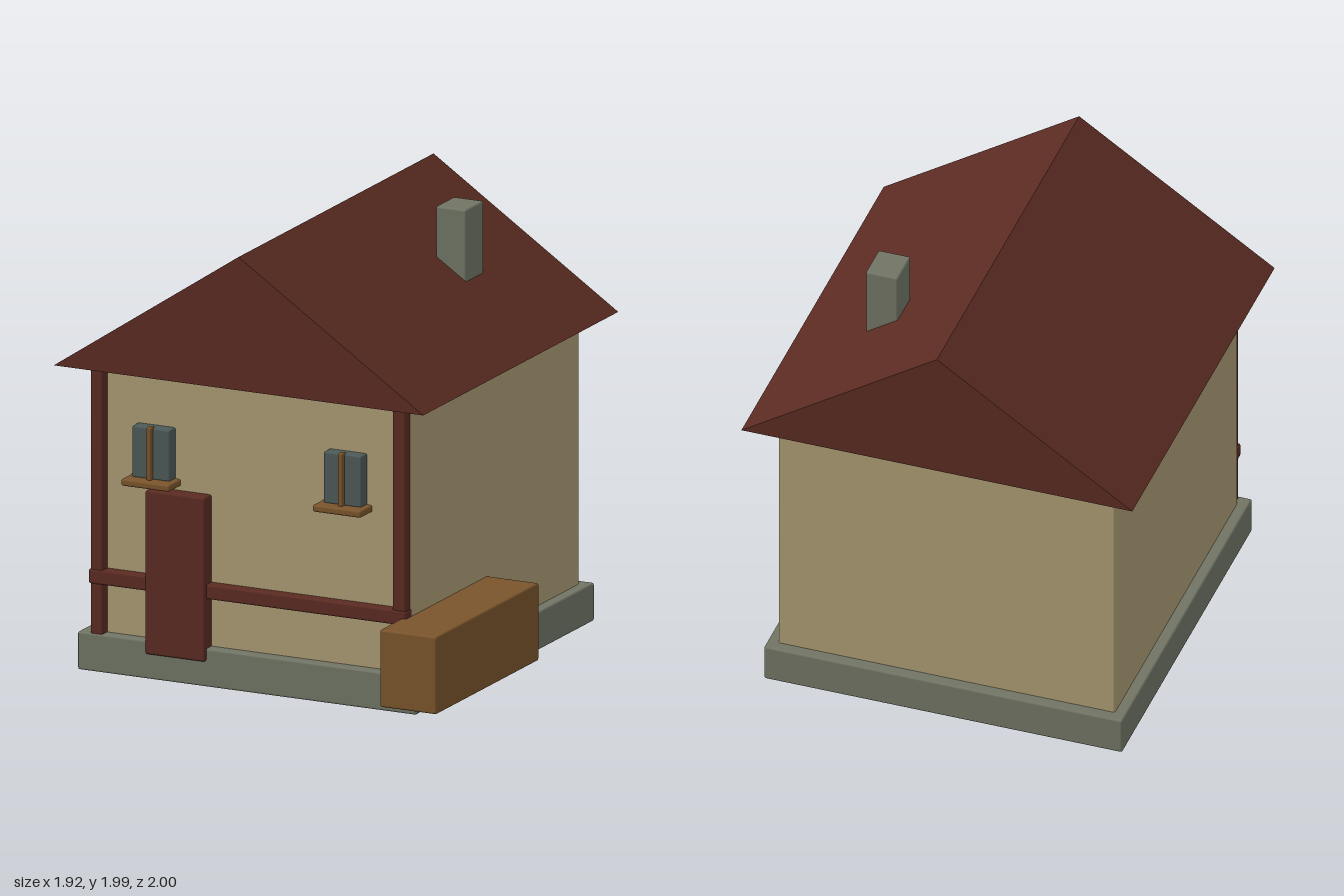
import * as THREE from 'three';
import { RoundedBoxGeometry } from 'three/addons/geometries/RoundedBoxGeometry.js';

const paint = (name, color) => {
  const material = new THREE.MeshStandardMaterial({ color });
  material.name = name;
  return material;
};

export function createModel() {
  const house = new THREE.Group();
  house.name = 'house';

  const plaster = paint('plaster', 0xab9b73);
  const redWood = paint('redWood', 0x5a2b22);
  const stone = paint('stone', 0x717565);
  const brownWood = paint('brownWood', 0x7a552c);
  const glass = paint('glass', 0x4c5a58);

  // Softly bevelled block given by its extents on each axis
  function block(name, material, [x0, x1], [y0, y1], [z0, z1], bevel = 0.01, parent = house) {
    const geometry = new RoundedBoxGeometry(x1 - x0, y1 - y0, z1 - z0, 2, bevel);
    const mesh = new THREE.Mesh(geometry, material);
    mesh.name = name;
    mesh.position.set((x0 + x1) / 2, (y0 + y1) / 2, (z0 + z1) / 2);
    parent.add(mesh);
    return mesh;
  }

  // Foundation and walls
  block('foundation', stone, [-0.89, 0.76], [0, 0.172], [-0.92, 0.8]);
  block('walls', plaster, [-0.84, 0.71], [0.15, 1.385], [-0.87, 0.75]);

  // Gable roof: a solid triangular prism
  const gable = new THREE.Shape([
    new THREE.Vector2(-0.965, 1.383),
    new THREE.Vector2(0.835, 1.383),
    new THREE.Vector2(-0.065, 1.985),
  ]);
  const roofGeometry = new THREE.ExtrudeGeometry(gable, { depth: 1.88, bevelEnabled: false });
  roofGeometry.translate(0, 0, -1);
  const roof = new THREE.Mesh(roofGeometry, redWood);
  roof.name = 'roof';
  house.add(roof);

  block('chimney', stone, [0.298, 0.446], [1.42, 1.967], [-0.475, -0.302]);

  // Front timber frame
  block('leftPost', redWood, [0.64, 0.705], [0.16, 1.385], [0.735, 0.795]);
  block('rightPost', redWood, [-0.83, -0.77], [0.16, 1.385], [0.735, 0.795]);
  block('crossBeam', redWood, [-0.838, 0.71], [0.395, 0.461], [0.738, 0.8]);
  block('door', redWood, [-0.553, -0.262], [0.115, 0.855], [0.74, 0.817]);

  // Windows with a centre bar and a sill
  for (const [name, x] of [['rightWindow', -0.53], ['leftWindow', 0.403]]) {
    const frame = new THREE.Group();
    frame.name = name;
    frame.position.x = x;
    house.add(frame);
    block('pane', glass, [-0.092, 0.092], [0.903, 1.136], [0.74, 0.805], 0.008, frame);
    block('centreBar', brownWood, [-0.011, 0.011], [0.9, 1.143], [0.79, 0.829], 0.006, frame);
    block('sill', brownWood, [-0.118, 0.118], [0.874, 0.906], [0.74, 0.862], 0.01, frame);
  }

  // Long wooden box beside the house
  block('woodenBox', brownWood, [0.683, 0.96], [0.077, 0.427], [0.01, 1]);

  return house;
}
